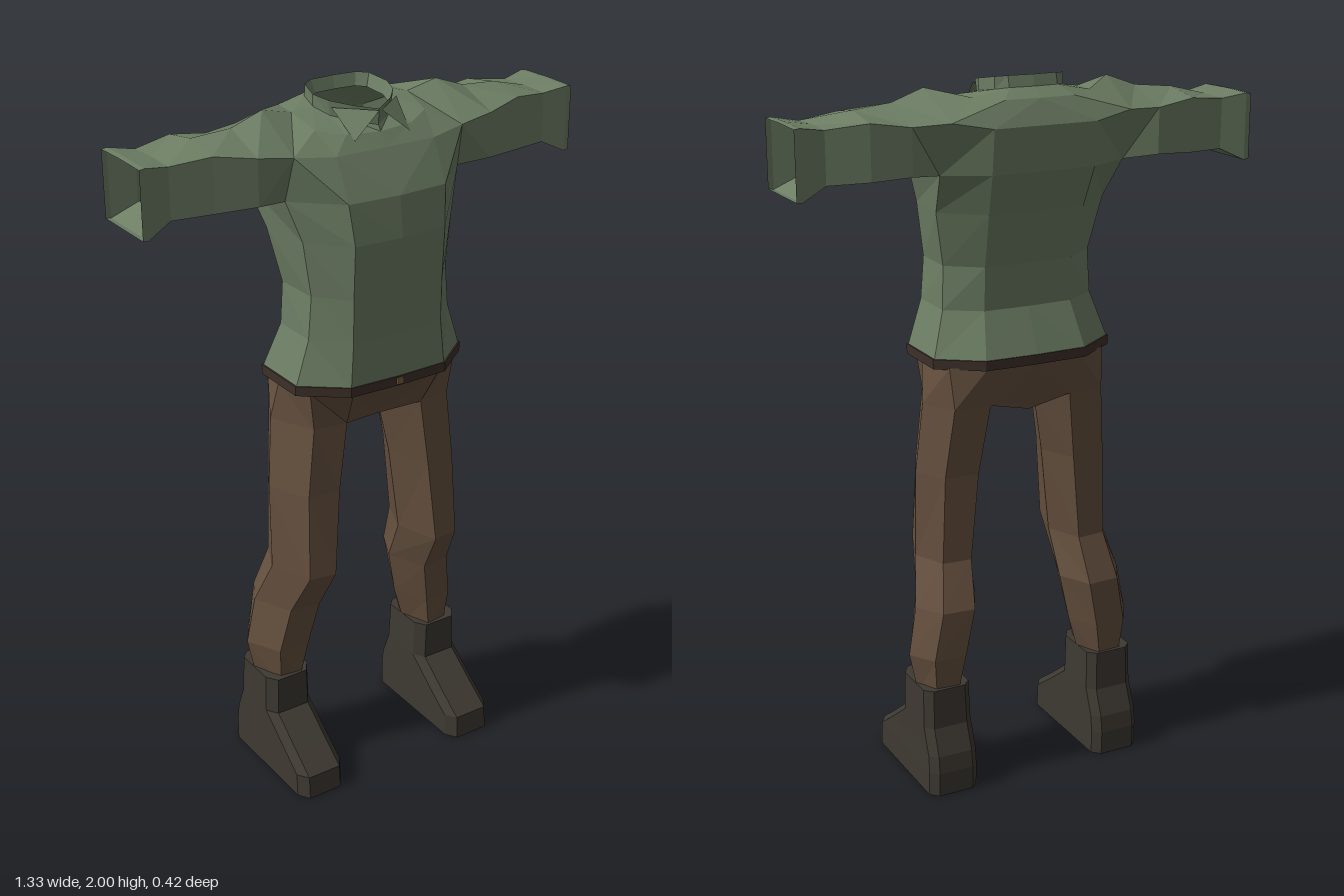
import * as THREE from 'three';

const mat = (name, color) => {
  const m = new THREE.MeshStandardMaterial({ color, flatShading: true, side: THREE.DoubleSide });
  m.name = name;
  return m;
};

// Skin between rows of points; rows run upward, points run front -> left side -> back.
function skin(tris, rows, closed = false) {
  for (let i = 0; i + 1 < rows.length; i++) {
    const n = rows[i].length;
    for (let j = 0; j < (closed ? n : n - 1); j++) {
      const k = (j + 1) % n;
      const a = rows[i][j], b = rows[i][k], c = rows[i + 1][k], d = rows[i + 1][j];
      tris.push([a, b, c], [a, c, d]);
    }
  }
}

// Flat end over a ring
function cap(tris, ring, up) {
  for (let j = 1; j + 1 < ring.length; j++) {
    tris.push(up ? [ring[0], ring[j], ring[j + 1]] : [ring[0], ring[j + 1], ring[j]]);
  }
}

// One mesh from triangles of the left half plus their mirror image
function mirrored(name, material, tris) {
  const pos = [];
  const flip = ([x, y, z]) => [-x, y, z];
  for (const [a, b, c] of tris) {
    pos.push(...a, ...b, ...c, ...flip(a), ...flip(c), ...flip(b));
  }
  const g = new THREE.BufferGeometry();
  g.setAttribute('position', new THREE.Float32BufferAttribute(pos, 3));
  g.computeVertexNormals();
  const mesh = new THREE.Mesh(g, material);
  mesh.name = name;
  return mesh;
}

export function createModel() {
  const group = new THREE.Group();
  group.name = 'outfit';
  const shirt = mat('shirt green', 0x6d7e64);
  const brown = mat('trouser brown', 0x66513f);
  const dark = mat('belt brown', 0x3d3029);
  const leather = mat('boot leather', 0x3e3932);
  const metal = mat('buckle', 0x80603f);

  // Torso half-rows: y, then front centre z, front, side front, side back, back, back centre z
  const torsoRow = (y, f0, f1x, f1z, s1x, s1z, s2x, s2z, b1x, b1z, b0) =>
    [[0, y, f0], [f1x, y, f1z], [s1x, y, s1z], [s2x, y, s2z], [b1x, y, b1z], [0, y, b0]];
  const hem = torsoRow(1.255, 0.185, 0.15, 0.18, 0.265, 0.09, 0.265, -0.08, 0.15, -0.16, -0.165);
  const chest = torsoRow(1.76, 0.18, 0.15, 0.17, 0.27, 0.06, 0.27, -0.14, 0.15, -0.2, -0.205);
  const torso = [
    hem,
    torsoRow(1.38, 0.185, 0.14, 0.175, 0.225, 0.09, 0.225, -0.05, 0.13, -0.11, -0.115),
    torsoRow(1.5, 0.187, 0.14, 0.177, 0.215, 0.09, 0.22, -0.045, 0.13, -0.115, -0.12),
    torsoRow(1.65, 0.195, 0.14, 0.185, 0.235, 0.085, 0.25, -0.07, 0.14, -0.16, -0.165),
    chest,
  ];
  // Shoulder line, shoulder dip and neck base
  const yoke = [[0, 1.87, 0.115], [0.15, 1.87, 0.115], [0.26, 1.88, 0.09], [0.27, 1.972, -0.045],
    [0.26, 1.9, -0.195], [0.15, 1.88, -0.213], [0, 1.88, -0.213]];
  const dip = [[0, 1.905, 0.09], [0.1, 1.91, 0.083], [0.17, 1.925, 0.045], [0.18, 1.95, -0.05],
    [0.17, 1.95, -0.13], [0.1, 1.945, -0.175], [0, 1.945, -0.18]];
  const neck = [[0, 1.92, 0.08], [0.055, 1.93, 0.045], [0.095, 1.94, 0], [0.115, 1.955, -0.05],
    [0.1, 1.965, -0.115], [0.07, 1.97, -0.138], [0, 1.97, -0.143]];
  const body = [];
  skin(body, torso);
  skin(body, [chest.slice(0, 3), yoke.slice(0, 3)]);
  skin(body, [chest.slice(3), yoke.slice(4)]);
  skin(body, [yoke, dip, neck]);
  group.add(mirrored('torso', shirt, body));

  // Open sleeves: x, bottom, top, ridge height, front z, back z
  const sleeveRing = (x, yb, yt, yr, zf, zb) =>
    [[x, yb, zf], [x, yt, zf], [x, yr, (zf + zb) / 2], [x, yt, zb], [x, yb, zb]];
  const sleeve = [];
  skin(sleeve, [
    sleeveRing(0.665, 1.73, 1.91, 1.912, 0.045, -0.157),
    sleeveRing(0.65, 1.728, 1.912, 1.914, 0.045, -0.157),
    sleeveRing(0.58, 1.762, 1.9, 1.903, 0.032, -0.142),
    sleeveRing(0.47, 1.765, 1.912, 1.93, 0.056, -0.168),
    sleeveRing(0.36, 1.77, 1.895, 1.94, 0.084, -0.175),
    [chest[2], yoke[2], yoke[3], yoke[4], chest[3]],
  ], true);
  group.add(mirrored('sleeves', shirt, sleeve));

  // Collar band folded inward, with two front points
  const rim = [[0, 1.962, 0.083], [0.06, 1.972, 0.045], [0.1, 1.98, 0], [0.115, 1.987, -0.05],
    [0.1, 1.997, -0.112], [0.07, 2, -0.13], [0, 2, -0.135]];
  const inner = rim.map(([x, y, z]) => [x * 0.88, y - 0.035, (z + 0.03) * 0.9 - 0.03]);
  const collar = [];
  skin(collar, [neck, rim, inner]);
  collar.push([[0.004, 1.96, 0.09], [0.085, 1.895, 0.1], [0.1, 1.965, 0.015]]);
  group.add(mirrored('collar', shirt, collar));

  // Belt under the hem
  const grow = (row, y, s) => row.map(([x, , z]) => [x * s, y, z * s]);
  const belt = [];
  skin(belt, [grow(hem, 1.233, 0.95), grow(hem, 1.23, 1.015), grow(hem, 1.257, 1.015), grow(hem, 1.257, 0.99)]);
  group.add(mirrored('belt', dark, belt));
  const buckle = new THREE.Mesh(new THREE.BoxGeometry(0.018, 0.018, 0.006), metal);
  buckle.name = 'buckle';
  buckle.position.set(0, 1.244, 0.19);
  group.add(buckle);

  // Leg rings: y, inner x, outer x, front z, back z
  const legRing = (y, xi, xo, zf, zb) =>
    [[0.25, 1], [0.72, 0.95], [1, 0.42], [0.75, 0.03], [0.25, 0], [0, 0.45]]
      .map(([u, v]) => [xi + u * (xo - xi), y, zb + v * (zf - zb)]);
  const thigh = legRing(1.12, 0.07, 0.278, 0.115, -0.13);
  thigh[5][1] = 1.08;
  const legs = [];
  skin(legs, [
    legRing(0.28, 0.2, 0.325, 0.025, -0.135),
    legRing(0.4, 0.165, 0.35, 0.04, -0.148),
    legRing(0.54, 0.137, 0.325, 0.062, -0.152),
    legRing(0.67, 0.13, 0.297, 0.132, -0.105),
    legRing(0.92, 0.1, 0.296, 0.118, -0.108),
    thigh,
  ], true);
  group.add(mirrored('trouserLegs', brown, legs));

  // Hips and crotch
  const waist = [[0, 1.235, 0.178], [0.14, 1.235, 0.175], [0.235, 1.235, 0.11], [0.265, 1.235, 0],
    [0.235, 1.235, -0.11], [0.14, 1.235, -0.155], [0, 1.235, -0.162]];
  const crotch = [[0, 1.1, 0.075], [0, 1.075, -0.02], [0, 1.09, -0.12]];
  const hips = [];
  skin(hips, [[crotch[0], ...thigh.slice(0, 5), crotch[2]], waist]);
  skin(hips, [crotch, [thigh[0], thigh[5], thigh[4]]]);
  group.add(mirrored('hips', brown, hips));

  // Boots: y, inner x, outer x, front z, back z, with bevelled toe and heel corners
  const bootRing = (y, xi, xo, zf, zb) => {
    const b = 0.022, m = (xi + xo) / 2;
    return [[m, y, zf], [xo - b, y, zf], [xo, y, zf - b * 1.5], [xo, y, zb + b], [xo - b, y, zb],
      [xi + b, y, zb], [xi, y, zb + b], [xi, y, zf - b * 1.5], [xi + b, y, zf]];
  };
  const rings = [
    bootRing(0, 0.19, 0.338, 0.21, -0.185),
    bootRing(0.07, 0.19, 0.337, 0.205, -0.187),
    bootRing(0.12, 0.19, 0.336, 0.135, -0.18),
    bootRing(0.195, 0.19, 0.335, 0.036, -0.15),
    bootRing(0.31, 0.193, 0.333, 0.036, -0.145),
  ];
  const boots = [];
  skin(boots, rings, true);
  cap(boots, rings[0], false);
  cap(boots, rings[4], true);
  group.add(mirrored('boots', leather, boots));

  return group;
}
